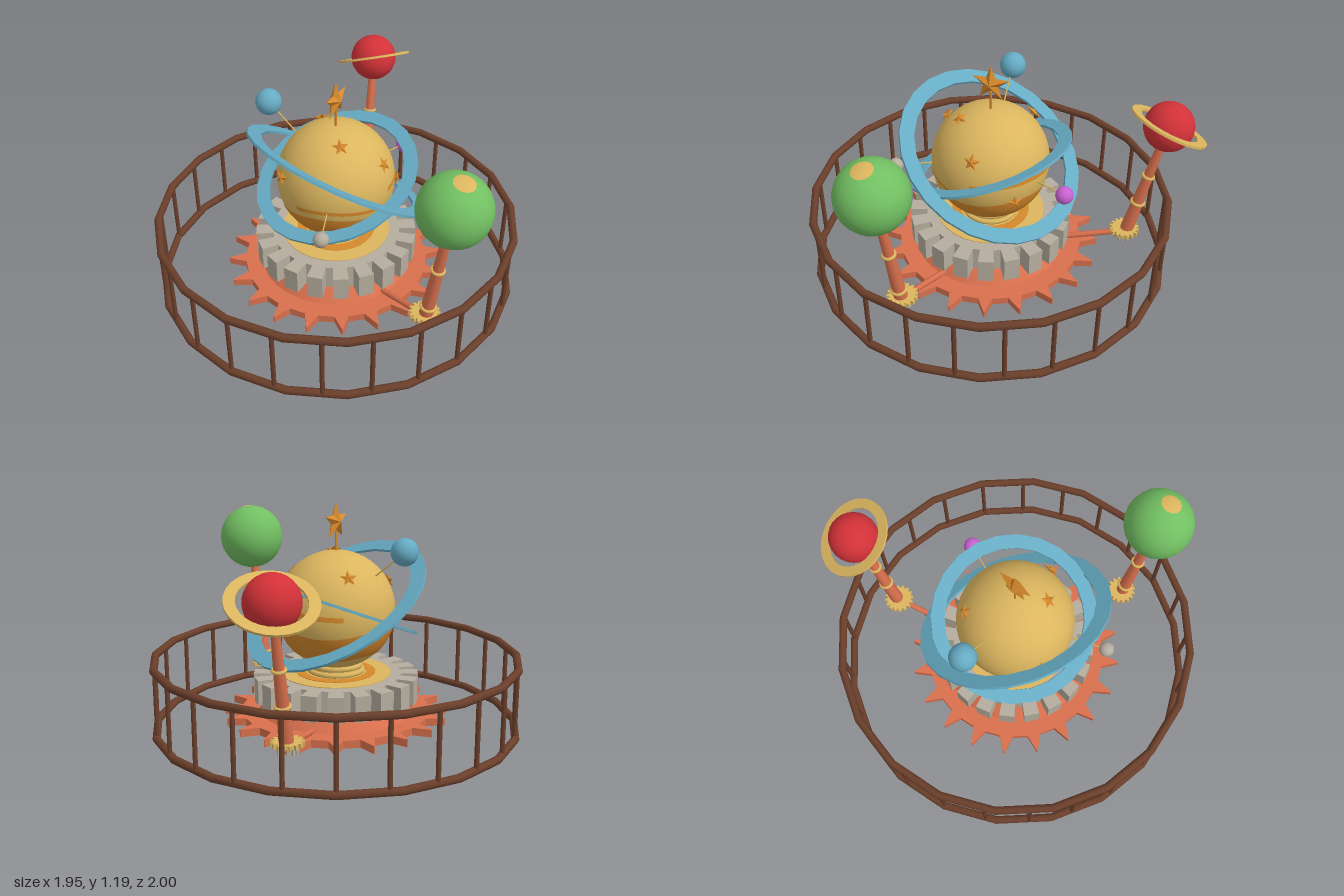
import * as THREE from 'three';
import { toCreasedNormals } from 'three/addons/utils/BufferGeometryUtils.js';

const V = (x, y, z) => new THREE.Vector3(x, y, z);
const UP = V(0, 1, 0);
const TAU = Math.PI * 2;

export function createModel() {
  const mat = (name, color, double = false) => {
    const m = new THREE.MeshStandardMaterial({ color });
    m.name = name;
    if (double) m.side = THREE.DoubleSide;
    return m;
  };
  const brown = mat('brown wood', 0x6b3f2b);
  const copper = mat('copper', 0xd9704d);
  const grey = mat('warm grey', 0xb5ad9e);
  const gold = mat('gold', 0xdcb65f);
  const orange = mat('amber', 0xd6892b);
  const blue = mat('sky blue', 0x66abc4);
  const green = mat('green', 0x72bf62);
  const red = mat('red', 0xd23238);
  const violet = mat('violet', 0xc862d2);

  const model = new THREE.Group();
  model.name = 'orrery';
  const body = new THREE.Group();
  body.name = 'mechanism';
  body.position.z = -0.024;
  model.add(body);

  const add = (name, geo, material, pos = V(0, 0, 0), parent = body) => {
    const mesh = new THREE.Mesh(geo, material);
    mesh.name = name;
    mesh.position.copy(pos);
    parent.add(mesh);
    return mesh;
  };
  const ball = (name, r, material, pos, seg = 24) =>
    add(name, new THREE.SphereGeometry(r, seg, Math.round(seg * 0.66)), material, pos);
  // Tapered rod between two points
  const rod = (name, a, b, ra, rb, material, sides = 10) => {
    const d = b.clone().sub(a);
    const m = add(name, new THREE.CylinderGeometry(rb, ra, d.length(), sides), material, a.clone().lerp(b, 0.5));
    m.quaternion.setFromUnitVectors(UP, d.normalize());
    return m;
  };
  // Flat ring with a rectangular section, lying around y
  const flatRing = (inner, outer, t, seg = 24) => toCreasedNormals(new THREE.LatheGeometry(
    [[outer, -t], [outer, t], [inner, t], [inner, -t], [outer, -t]].map(p => new THREE.Vector2(...p)), seg), 0.5);
  // Toothed disc: root and tip are the shares of the pitch taken by each tooth
  const gear = (n, hole, rRoot, rTip, root, tip, height) => {
    const s = new THREE.Shape();
    for (let i = 0; i < n; i++) {
      [[rRoot, -root], [rTip, -tip], [rTip, tip], [rRoot, root]].forEach(([r, f], k) => {
        const a = (i + f / 2) * TAU / n - Math.PI / 2;
        s[i + k ? 'lineTo' : 'moveTo'](r * Math.cos(a), r * Math.sin(a));
      });
    }
    s.closePath();
    if (hole) s.holes.push(new THREE.Path().absarc(0, 0, hole, 0, TAU, true));
    return new THREE.ExtrudeGeometry(s, { depth: height, bevelEnabled: false, curveSegments: 16 }).rotateX(-Math.PI / 2);
  };
  // Faceted five-pointed star facing +z
  const star = (r, depth) => {
    const pos = [];
    const pt = i => {
      const a = i * Math.PI / 5 + Math.PI / 2, q = i % 2 ? r * 0.42 : r;
      return [q * Math.cos(a), q * Math.sin(a), 0];
    };
    for (let i = 0; i < 10; i++) {
      pos.push(...pt(i), ...pt(i + 1), 0, 0, depth);
      pos.push(...pt(i + 1), ...pt(i), 0, 0, -depth);
    }
    const g = new THREE.BufferGeometry();
    g.setAttribute('position', new THREE.Float32BufferAttribute(pos, 3));
    g.computeVertexNormals();
    return g;
  };

  // Railing
  for (const [name, y] of [['lowerRail', 0.021], ['upperRail', 0.378]]) {
    add(name, new THREE.TorusGeometry(0.955, 0.021, 8, 20).rotateX(Math.PI / 2), brown, V(0, y, 0));
  }
  for (let i = 0; i < 25; i++) {
    const a = i * TAU / 25;
    add('railPost', new THREE.CylinderGeometry(0.012, 0.012, 0.35, 8), brown,
      V(0.95 * Math.sin(a), 0.2, 0.95 * Math.cos(a)));
  }

  // Spiked base with its hollow collar
  add('spikedBase', gear(20, 0.41, 0.5, 0.592, 0.46, 0.03, 0.04), copper, V(0, 0.052, 0));
  const collar = [[0.41, 0.053], [0.43, 0.053], [0.4, 0.092], [0.345, 0.157], [0.3, 0.157], [0.32, 0.15], [0.41, 0.053]];
  add('baseCollar', toCreasedNormals(new THREE.LatheGeometry(collar.map(p => new THREE.Vector2(...p)), 32), 0.5), copper);

  // Main gear, its gold lid and the pedestal
  add('mainGear', gear(20, 0.29, 0.345, 0.435, 0.66, 0.6, 0.133), grey, V(0, 0.155, 0));
  add('gearLid', new THREE.CylinderGeometry(0.291, 0.291, 0.02, 32), gold, V(0, 0.282, 0));
  add('lidInlay', flatRing(0.16, 0.21, 0.003, 32), orange, V(0, 0.292, 0));
  add('pedestal', new THREE.CylinderGeometry(0.12, 0.135, 0.07, 24), gold, V(0, 0.32, 0));
  for (const [r, y] of [[0.14, 0.305], [0.13, 0.335]]) {
    add('pedestalRing', new THREE.TorusGeometry(r, 0.014, 8, 28).rotateX(Math.PI / 2), gold, V(0, y, 0));
  }

  // Central planet with wavy painted bands
  const C = V(0, 0.63, 0), R = 0.31;
  ball('centralPlanet', R, gold, C, 36);
  const band = (name, top, bottom, amp, k, from = 0, length = TAU) => {
    const g = new THREE.SphereGeometry(1, 64, 8, from, length, Math.PI / 2 - top, top - bottom);
    const p = g.attributes.position;
    for (let i = 0; i < p.count; i++) {
      const lon = Math.atan2(p.getZ(i), p.getX(i));
      const lat = Math.asin(p.getY(i)) + amp * Math.sin(k * lon + 0.6);
      const r = R + 0.003;
      p.setXYZ(i, r * Math.cos(lat) * Math.cos(lon), r * Math.sin(lat), r * Math.cos(lat) * Math.sin(lon));
    }
    g.computeVertexNormals();
    add(name, g, orange, C);
  };
  band('broadBand', -0.25, -0.78, 0.05, 3);
  band('thinBand', 0.13, 0.05, 0.05, 2, 1.9, 2.3);
  band('thinBand', -0.06, -0.13, 0.04, 3, 0.2, 1.5);

  // Tilted orbit rings
  add('largeOrbitRing', flatRing(0.435, 0.515, 0.007), blue, V(0.01, 0.665, 0)).rotation.z = -0.567;
  add('smallOrbitRing', flatRing(0.37, 0.442, 0.007), blue, V(0, 0.638, 0)).rotation.z = 0.389;

  // Crowning star and the stars around the planet
  rod('starPin', V(0, 0.93, 0), V(0, 1.04, 0), 0.006, 0.006, orange, 6);
  add('topStar', star(0.1, 0.032), orange, V(0, 1.088, 0)).rotation.y = 0.35;
  for (const p of [[-0.085, 0.286, 0.14], [0.095, 0.17, 0.265], [0.095, 0.21, -0.235], [0.285, -0.05, 0.16], [-0.325, 0.12, -0.03]]) {
    const d = V(...p);
    const s = add('smallStar', star(0.046, 0.014), orange, C.clone().add(d));
    s.lookAt(C.clone().add(d.multiplyScalar(2)));
  }

  // Little moons on pins
  for (const [name, r, m, p] of [
    ['blueMoon', 0.07, blue, V(-0.148, 0.965, -0.37)],
    ['violetMoon', 0.046, violet, V(0.48, 0.63, 0.008)],
    ['greyMoon', 0.04, grey, V(-0.367, 0.6, 0.335)],
  ]) {
    ball(name, r, m, p, 20);
    const d = p.clone().sub(C).normalize();
    rod('moonPin', C.clone().addScaledVector(d, R - 0.01), p, 0.004, 0.004, gold, 6);
  }

  // Arms carrying the outer planets
  const planetArm = (azimuth, footR, headR, headY, rings) => {
    const at = (r, y) => V(r * Math.sin(azimuth), y, r * Math.cos(azimuth));
    const foot = at(footR, 0.13), head = at(headR, headY);
    rod('reachArm', at(0.34, 0.085), at(footR, 0.155), 0.016, 0.016, copper, 8);
    rod('planetPost', foot, head, 0.038, 0.018, copper);
    add('goldPinion', gear(16, 0, 0.066, 0.08, 0.6, 0.4, 0.022), gold, at(footR - 0.005, 0.155));
    add('greyPinion', gear(12, 0, 0.042, 0.055, 0.6, 0.4, 0.03), grey, at(footR - 0.005, 0.12));
    const dir = head.clone().sub(foot).normalize();
    for (const y of rings) {
      const t = (y - foot.y) / (head.y - foot.y);
      const m = add('postRing', new THREE.TorusGeometry(0.039 - 0.019 * t, 0.009, 8, 18).rotateX(Math.PI / 2), gold, foot.clone().lerp(head, t));
      m.quaternion.setFromUnitVectors(UP, dir);
    }
    return head;
  };
  const greenAt = planetArm(0, 0.712, 0.842, 0.907, [0.23, 0.5]);
  ball('greenPlanet', 0.181, green, greenAt);
  const cap = add('greenPlanetPatch', new THREE.SphereGeometry(0.184, 12, 4, 0, TAU, 0, 0.3), gold, greenAt);
  cap.rotation.x = 0.25;

  const redAt = planetArm(2.208, 0.745, 0.902, 0.86, [0.36, 0.54]);
  ball('redPlanet', 0.13, red, redAt);
  const halo = add('redPlanetRing', flatRing(0.158, 0.21, 0.006, 28), gold, redAt);
  halo.quaternion.setFromUnitVectors(UP, V(0.2, 1, -0.5).normalize());

  return model;
}
